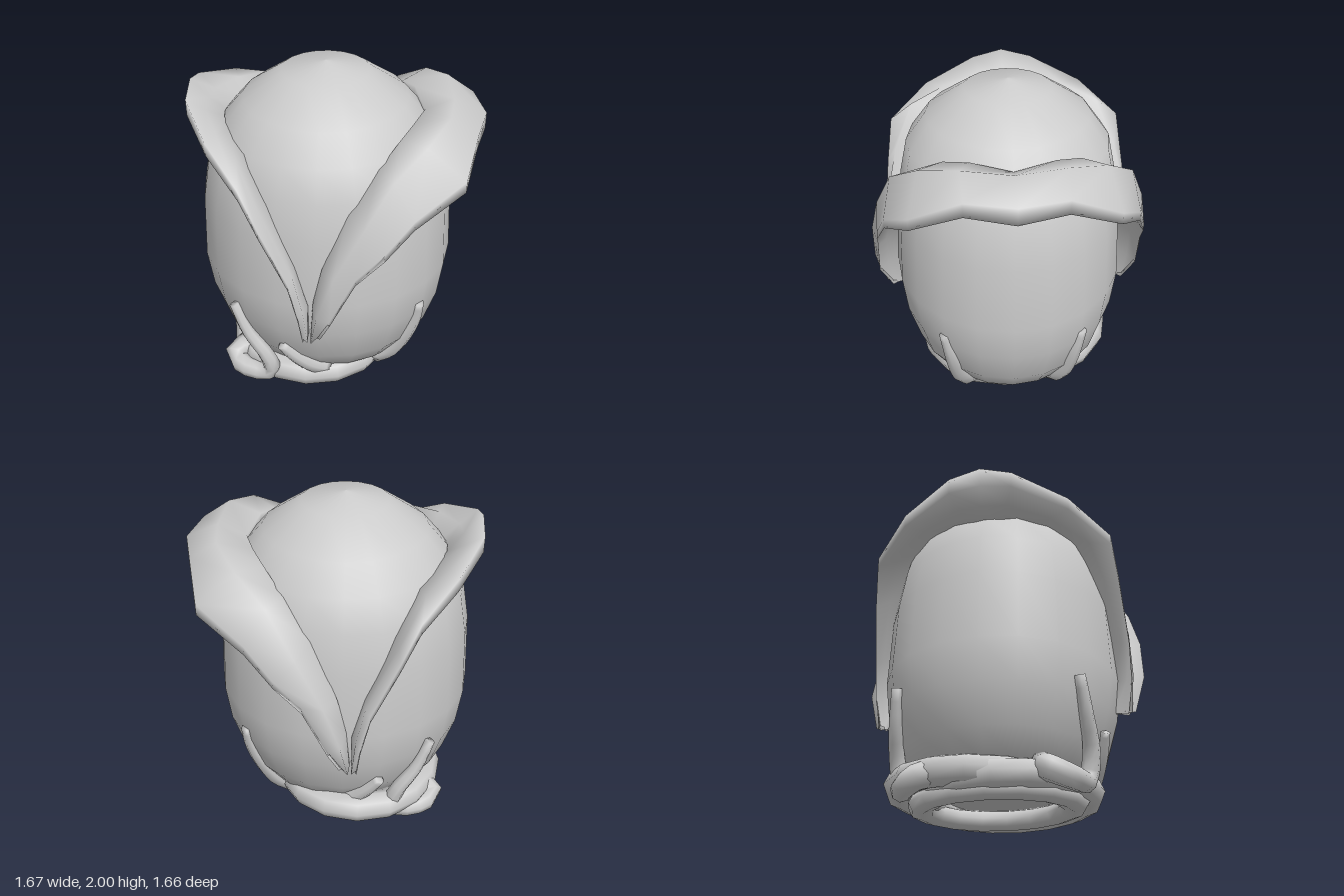
import * as THREE from 'three';

const material = new THREE.MeshStandardMaterial({ color: 0xcccccc });
const thinMaterial = new THREE.MeshStandardMaterial({ color: 0xcccccc, side: THREE.DoubleSide });

function addMesh(parent, name, geometry, mat = material) {
  const mesh = new THREE.Mesh(geometry, mat);
  mesh.name = name;
  parent.add(mesh);
  return mesh;
}

// Skin a row of closed cross-sections and cap both ends.
function loft(sections) {
  const n = sections[0].length;
  const index = [];
  for (let i = 0; i < sections.length - 1; i++) {
    for (let j = 0; j < n; j++) {
      const a = i * n + j, b = i * n + (j + 1) % n;
      index.push(a, a + n, b, b, a + n, b + n);
    }
  }
  const last = (sections.length - 1) * n;
  for (let j = 1; j < n - 1; j++) {
    index.push(0, j, j + 1, last, last + j + 1, last + j);
  }
  const geometry = new THREE.BufferGeometry().setFromPoints(sections.flat());
  geometry.setIndex(index);
  geometry.computeVertexNormals();
  return geometry;
}

// Leaf collar: each station holds the inner edge, the crest and the outer lip,
// from the front seam to the middle (z = 0); the back half is mirrored.
function leaf(stations, lipHeight) {
  const section = (s, t, side) => {
    const point = (k) => new THREE.Vector3(s[k], s[k + 1], s[k + 2] * side);
    const inner = point(0), crest = point(3), lip = point(6);
    const lipTop = lip.clone();
    lipTop.y += 0.03 + lipHeight * t * t;
    // underside runs from the lip back into the egg
    const under = lip.clone().lerp(inner, 0.45);
    under.y -= 0.05 * t;
    const root = inner.clone();
    root.y -= 0.1 * t;
    root.z *= 0.95;
    return [inner, crest, lipTop, lip, under, root];
  };
  const end = stations.length - 1;
  const front = stations.map((s, i) => section(s, i / end, 1));
  const back = stations.slice(0, -1).map((s, i) => section(s, i / end, -1)).reverse();
  return loft([...front, ...back]);
}

// Tube along a smooth path whose radius runs from r0 to r1.
function taperedTube(points, r0, r1, steps = 10, sides = 8) {
  const curve = new THREE.CatmullRomCurve3(points.map((p) => new THREE.Vector3(...p)));
  const frames = curve.computeFrenetFrames(steps);
  const sections = [];
  for (let i = 0; i <= steps; i++) {
    const centre = curve.getPointAt(i / steps);
    const r = THREE.MathUtils.lerp(r0, r1, i / steps);
    const ring = [];
    for (let j = 0; j < sides; j++) {
      const a = -(j / sides) * Math.PI * 2;
      ring.push(centre.clone()
        .addScaledVector(frames.normals[i], Math.cos(a) * r)
        .addScaledVector(frames.binormals[i], Math.sin(a) * r));
    }
    sections.push(ring);
  }
  return loft(sections);
}

export function createModel() {
  const model = new THREE.Group();
  model.name = 'leafyEgg';

  // Egg body, slimmer from front to back below the crown
  const profile = [
    [0, 0.11], [0.22, 0.12], [0.42, 0.15], [0.55, 0.2], [0.655, 0.35], [0.725, 0.57], [0.755, 0.8],
    [0.735, 1.2], [0.69, 1.45], [0.61, 1.64], [0.47, 1.8], [0.25, 1.95], [0, 2],
  ].map(([r, y]) => new THREE.Vector2(r, y));
  const egg = new THREE.LatheGeometry(profile, 20);
  const position = egg.attributes.position;
  for (let i = 0; i < position.count; i++) {
    const squeeze = 0.91 + 0.09 * THREE.MathUtils.smoothstep(position.getY(i), 1.45, 1.8);
    position.setZ(i, position.getZ(i) * squeeze);
  }
  addMesh(model, 'egg', egg).position.x = -0.07;

  // Broad leaf on the +x side
  addMesh(model, 'broadLeaf', leaf([
    [-0.11, 0.60, 0.68, -0.10, 0.61, 0.77, -0.05, 0.61, 0.73],
    [-0.09, 0.85, 0.69, -0.06, 0.84, 0.83, 0.01, 0.77, 0.80],
    [-0.04, 1.07, 0.68, 0.03, 1.10, 0.82, 0.15, 1.05, 0.78],
    [0.10, 1.40, 0.60, 0.18, 1.37, 0.76, 0.30, 1.20, 0.76],
    [0.25, 1.61, 0.50, 0.33, 1.62, 0.66, 0.45, 1.37, 0.70],
    [0.36, 1.72, 0.37, 0.50, 1.75, 0.50, 0.71, 1.52, 0.55],
    [0.43, 1.75, 0.23, 0.62, 1.81, 0.28, 0.775, 1.63, 0.27],
    [0.49, 1.72, 0.00, 0.65, 1.79, 0.00, 0.835, 1.61, 0.00],
  ], 0.07), thinMaterial);

  // Slim upturned leaf on the -x side
  addMesh(model, 'slimLeaf', leaf([
    [-0.12, 0.60, 0.68, -0.12, 0.60, 0.75, -0.15, 0.58, 0.73],
    [-0.12, 0.82, 0.69, -0.14, 0.83, 0.77, -0.17, 0.76, 0.76],
    [-0.19, 1.06, 0.66, -0.19, 1.06, 0.76, -0.22, 0.98, 0.76],
    [-0.34, 1.41, 0.55, -0.36, 1.41, 0.68, -0.37, 1.29, 0.73],
    [-0.47, 1.63, 0.42, -0.49, 1.66, 0.57, -0.47, 1.51, 0.70],
    [-0.58, 1.67, 0.23, -0.63, 1.71, 0.37, -0.67, 1.64, 0.48],
    [-0.64, 1.68, 0.09, -0.73, 1.74, 0.14, -0.83, 1.72, 0.18],
    [-0.65, 1.68, 0.00, -0.74, 1.75, 0.00, -0.84, 1.74, 0.00],
  ], 0.09), thinMaterial);

  // Intertwined roots around the foot: [x, y, z, radiusX, radiusZ, tube radius, tilt]
  const roots = [
    [-0.16, 0.125, 0.04, 0.44, 0.45, 0.085, 0.02],
    [-0.16, 0.155, -0.09, 0.45, 0.48, 0.085, -0.05],
    [-0.25, 0.06, 0, 0.32, 0.42, 0.06, 0],
  ];
  roots.forEach(([x, y, z, rx, rz, tube, tilt], i) => {
    const ring = new THREE.TorusGeometry(rx, tube, 8, 16);
    const root = addMesh(model, `rootRing${i + 1}`, ring);
    root.scale.y = rz / rx;
    root.rotation.x = Math.PI / 2 - tilt;
    root.position.set(x, y, z);
  });

  // Tendrils climbing the egg, mirrored front to back
  const tendrils = [
    ['sideTendril', [[0.25, 0.15, 0.26], [0.34, 0.21, 0.29], [0.43, 0.37, 0.34], [0.48, 0.5, 0.37], [0.51, 0.65, 0.405]], 0.1, 0.03],
    ['shortTendril', [[-0.05, 0.18, 0.46], [-0.13, 0.23, 0.51], [-0.21, 0.32, 0.56], [-0.29, 0.43, 0.6]], 0.075, 0.03],
    ['curledTendril', [[-0.52, 0.18, 0.28], [-0.63, 0.12, 0.36], [-0.52, 0.1, 0.46], [-0.38, 0.13, 0.5],
      [-0.39, 0.27, 0.53], [-0.5, 0.45, 0.52], [-0.58, 0.65, 0.5]], 0.075, 0.03],
  ];
  for (const [name, points, r0, r1] of tendrils) {
    for (const side of [1, -1]) {
      const path = points.map(([x, y, z]) => [x, y, z * side]);
      addMesh(model, `${side > 0 ? 'front' : 'back'}-${name}`, taperedTube(path, r0, r1, 14), thinMaterial);
    }
  }
  return model;
}
